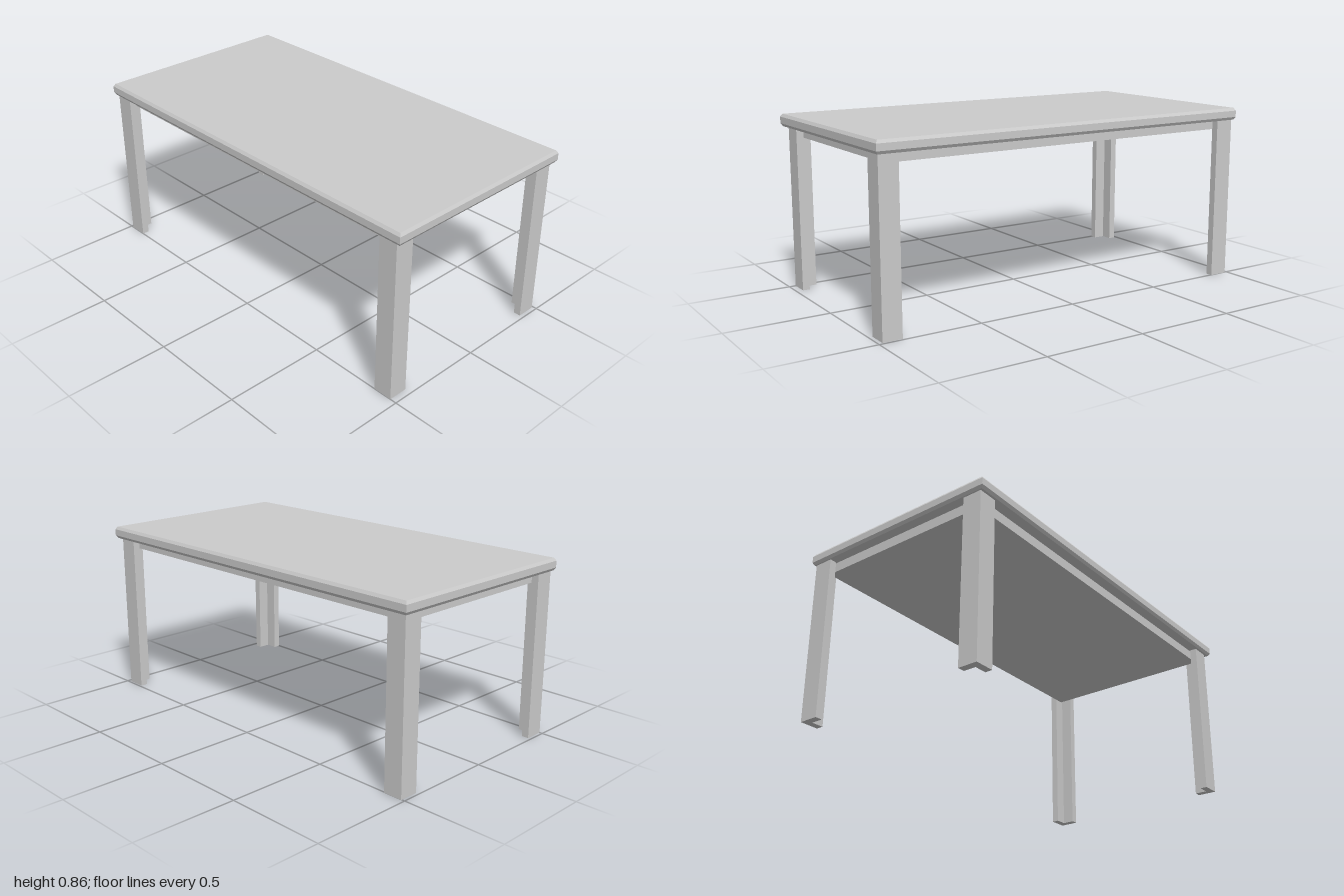
import * as THREE from 'three';

const material = new THREE.MeshStandardMaterial({ color: 0xcccccc, flatShading: true });

// Upright prism: outline points are [x, z], base at y
function prism(name, outline, y, height, options = {}) {
  const shape = new THREE.Shape(outline.map(([x, z]) => new THREE.Vector2(x, z)));
  const geometry = new THREE.ExtrudeGeometry(shape, { depth: height, bevelEnabled: false, ...options });
  geometry.rotateX(Math.PI / 2).translate(0, y + height, 0);
  const mesh = new THREE.Mesh(geometry, material);
  mesh.name = name;
  return mesh;
}

const rectangle = (x0, x1, z0, z1) => [[x0, z0], [x1, z0], [x1, z1], [x0, z1]];

export function createModel() {
  const table = new THREE.Group();
  table.name = 'table';

  // Tabletop with chamfered edges all round
  const chamfer = 0.009, rise = 0.014;
  table.add(prism('tabletop',
    rectangle(-1 + chamfer, 1 - chamfer, -0.52 + chamfer, 0.52 - chamfer),
    0.8 + rise, 0.06 - 2 * rise,
    { bevelEnabled: true, bevelSize: chamfer, bevelThickness: rise, bevelSegments: 1 }));

  // Solid apron block under the top, seated inside the legs
  table.add(prism('apron', rectangle(-0.945, 0.932, -0.453, 0.46), 0.752, 0.05));

  // L-section legs, each given by its outer corner
  const arm = 0.095, thick = 0.035;
  const legs = [
    ['frontLeftLeg', 0.967, 0.5],
    ['backLeftLeg', 0.98, -0.49],
    ['backRightLeg', -0.985, -0.505],
    ['frontRightLeg', -0.985, 0.5],
  ];
  for (const [name, x, z] of legs) {
    const sx = Math.sign(x), sz = Math.sign(z);
    const section = [[0, 0], [arm, 0], [arm, thick], [thick, thick], [thick, arm], [0, arm]];
    table.add(prism(name, section.map(([a, b]) => [x - sx * a, z - sz * b]), 0, 0.801));
  }
  return table;
}
